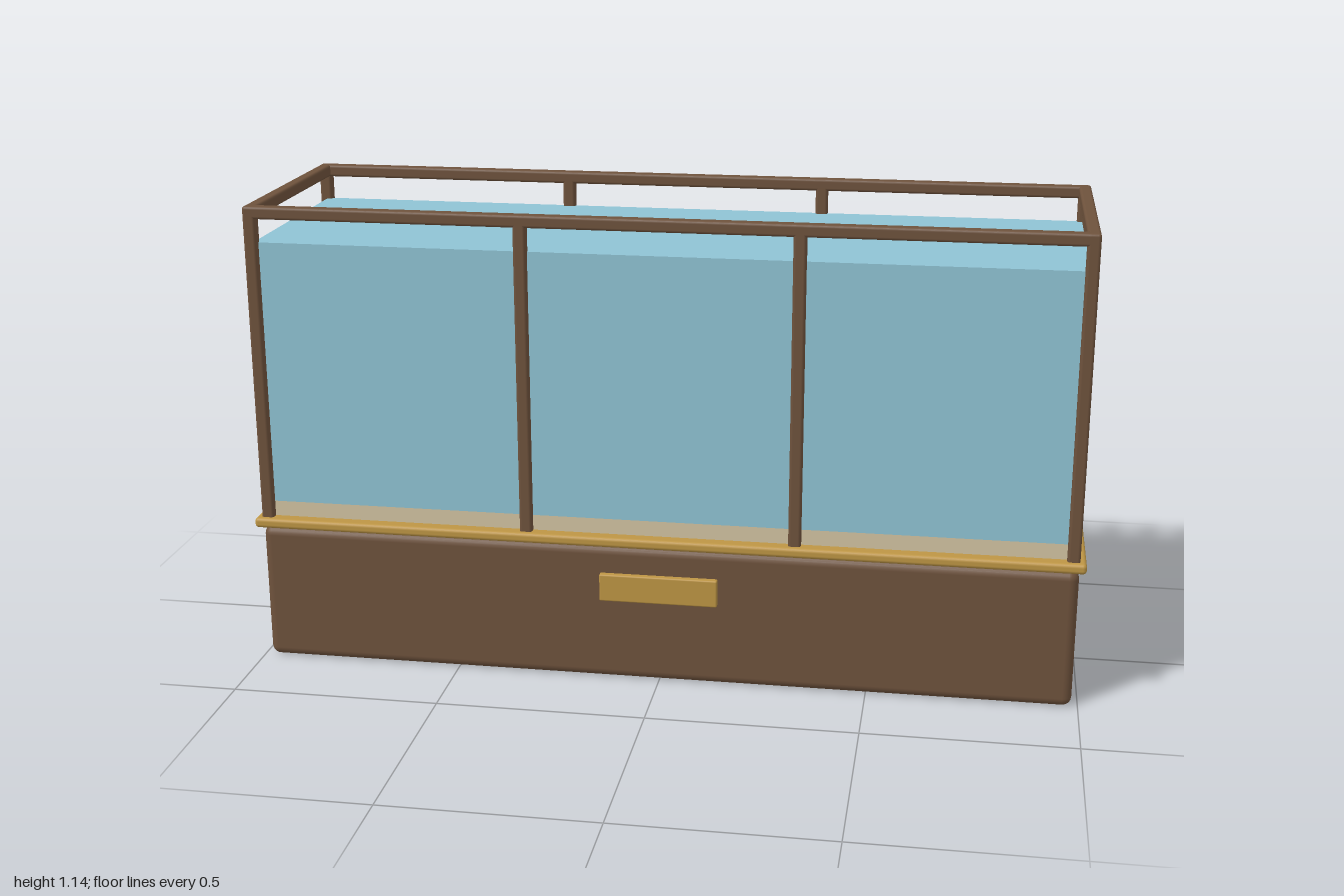
import * as THREE from 'three';
import { RoundedBoxGeometry } from 'three/addons/geometries/RoundedBoxGeometry.js';

const material = (name, color) => {
  const m = new THREE.MeshStandardMaterial({ color });
  m.name = name;
  return m;
};

export function createModel() {
  const wood = material('walnut brown', 0x6e523c);
  const brass = material('brass', 0xbd9544);
  const glass = material('pale blue glass', 0x8fc3d4);
  const sand = material('cream bed', 0xd2c4a2);
  const model = new THREE.Group();
  model.name = 'displayCase';

  // Box from its size and centre, with rounded edges when r > 0
  function box(name, mat, [w, h, d], [x, y, z], r = 0) {
    const geometry = r ? new RoundedBoxGeometry(w, h, d, 3, r) : new THREE.BoxGeometry(w, h, d);
    const mesh = new THREE.Mesh(geometry, mat);
    mesh.name = name;
    mesh.position.set(x, y, z);
    model.add(mesh);
  }

  // Cabinet, brass ledge and name plate
  box('base', wood, [1.97, 0.342, 0.586], [0, 0.171, 0], 0.022);
  box('ledge', brass, [2, 0.025, 0.612], [0, 0.355, 0], 0.009);
  box('plate', brass, [0.285, 0.068, 0.025], [0, 0.24, 0.295], 0.004);

  // Cream bed and the glass block above it
  box('bed', sand, [1.935, 0.045, 0.55], [0, 0.3825, 0]);
  box('glassBlock', glass, [1.935, 0.645, 0.55], [0, 0.7275, 0]);

  // Frame: posts along the front and back, rails around the top
  const t = 0.03, px = 0.97, pz = 0.278, top = 1.138;
  for (const side of [1, -1]) {
    for (const x of [-px, -px / 3, px / 3, px]) {
      box('post', wood, [t, top - 0.36, t], [x, (top + 0.36) / 2, side * pz], 0.007);
    }
    box('longRail', wood, [2 * px + t, t, t], [0, top - t / 2, side * pz], 0.007);
    box('endRail', wood, [t, t, 2 * pz + t], [side * px, top - t / 2, 0], 0.007);
  }
  return model;
}
